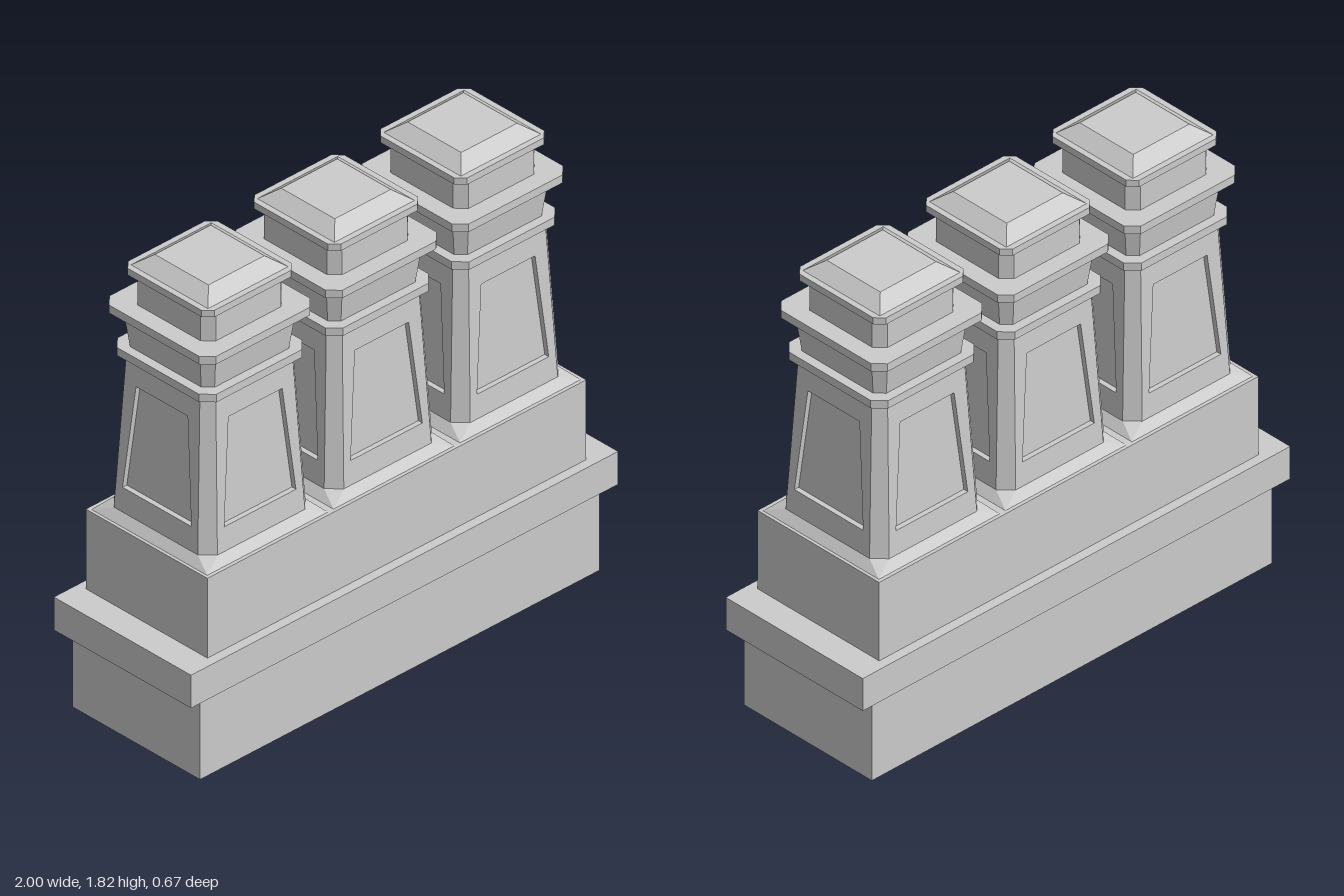
import * as THREE from 'three';

const material = new THREE.MeshStandardMaterial({ color: 0xcccccc, flatShading: true });

// Flat-shaded mesh from four-cornered faces, corners counter-clockwise from outside
function quadMesh(name, quads) {
  const pos = [];
  for (const [a, b, c, d] of quads) pos.push(...a, ...b, ...c, ...a, ...c, ...d);
  const geo = new THREE.BufferGeometry();
  geo.setAttribute('position', new THREE.Float32BufferAttribute(pos, 3));
  geo.computeVertexNormals();
  const mesh = new THREE.Mesh(geo, material);
  mesh.name = name;
  return mesh;
}

// Square ring of half-width h with cut corners; f is the half-width of each flat side
const ring = ([y, h, f]) => [[-f, h], [f, h], [h, f], [h, -f], [f, -h], [-f, -h], [-h, -f], [-h, f]]
  .map(([x, z]) => [x, y, z]);

function sides(low, high, keep = () => true) {
  const a = ring(low), b = ring(high), out = [];
  for (let i = 0; i < 8; i++) {
    const j = (i + 1) % 8;
    if (keep(i)) out.push([a[i], a[j], b[j], b[i]]);
  }
  return out;
}

// Closed solid through a list of rings
function loft(name, ...levels) {
  const quads = [];
  for (let i = 0; i < levels.length - 1; i++) quads.push(...sides(levels[i], levels[i + 1]));
  const fan = (r) => [1, 3, 5].map((i) => [r[0], r[i], r[i + 1], r[(i + 2) % 8]]);
  quads.push(...fan(ring(levels[levels.length - 1])));
  quads.push(...fan(ring(levels[0])).map((q) => q.reverse()));
  return quadMesh(name, quads);
}

// Tapered shaft: cut corners plus four faces with a sunken trapezoid panel
function shaft() {
  const low = [0.815, 0.252, 0.205], high = [1.425, 0.218, 0.18], depth = 0.02;
  const quads = sides(low, high, (i) => i % 2 === 1);
  const depthAt = (y) => low[1] + (high[1] - low[1]) * (y - low[0]) / (high[0] - low[0]);
  const trapezoid = (y0, w0, y1, w1, inset) => [[-w0, y0], [w0, y0], [w1, y1], [-w1, y1]]
    .map(([x, y]) => [x, y, depthAt(y) - inset]);
  const outer = trapezoid(low[0], low[2], high[0], high[2], 0);
  const rim = trapezoid(0.91, 0.168, 1.325, 0.126, 0);
  const panel = trapezoid(0.91, 0.168, 1.325, 0.126, depth);
  const face = [panel];
  for (let i = 0; i < 4; i++) {
    const j = (i + 1) % 4;
    face.push([outer[i], outer[j], rim[j], rim[i]], [rim[i], rim[j], panel[j], panel[i]]);
  }
  for (let k = 0; k < 4; k++) {
    const c = Math.round(Math.cos(k * Math.PI / 2)), s = Math.round(Math.sin(k * Math.PI / 2));
    quads.push(...face.map((q) => q.map(([x, y, z]) => [c * x + s * z, y, c * z - s * x])));
  }
  return quadMesh('panelledShaft', quads);
}

function chimneyPot(x) {
  const pot = new THREE.Group();
  pot.name = 'chimneyPot';
  pot.add(
    loft('flaredFoot', [0.783, 0.283, 0.283], [0.815, 0.252, 0.205]),
    shaft(),
    loft('lowerCollar', [1.425, 0.242, 0.2], [1.457, 0.242, 0.2]),
    loft('neck', [1.457, 0.206, 0.174], [1.595, 0.224, 0.186]),
    loft('upperCollar', [1.595, 0.26, 0.22], [1.627, 0.26, 0.22]),
    loft('drum', [1.627, 0.19, 0.153], [1.745, 0.19, 0.153]),
    loft('capSlab', [1.745, 0.211, 0.18], [1.772, 0.211, 0.18]),
    loft('capTop', [1.772, 0.188, 0.188], [1.815, 0.131, 0.131]),
  );
  pot.position.x = x;
  return pot;
}

function block(name, width, depth, y0, y1) {
  const mesh = new THREE.Mesh(new THREE.BoxGeometry(width, y1 - y0, depth), material);
  mesh.position.y = (y0 + y1) / 2;
  mesh.name = name;
  return mesh;
}

export function createModel() {
  const model = new THREE.Group();
  model.name = 'chimneyStack';
  // Stepped masonry base
  model.add(
    block('base', 1.872, 0.624, 0, 0.328),
    block('band', 2, 0.67, 0.328, 0.461),
    block('upperBlock', 1.774, 0.594, 0.461, 0.783),
  );
  // Row of three pots
  for (const i of [-1, 0, 1]) model.add(chimneyPot(i * 0.592));
  return model;
}
